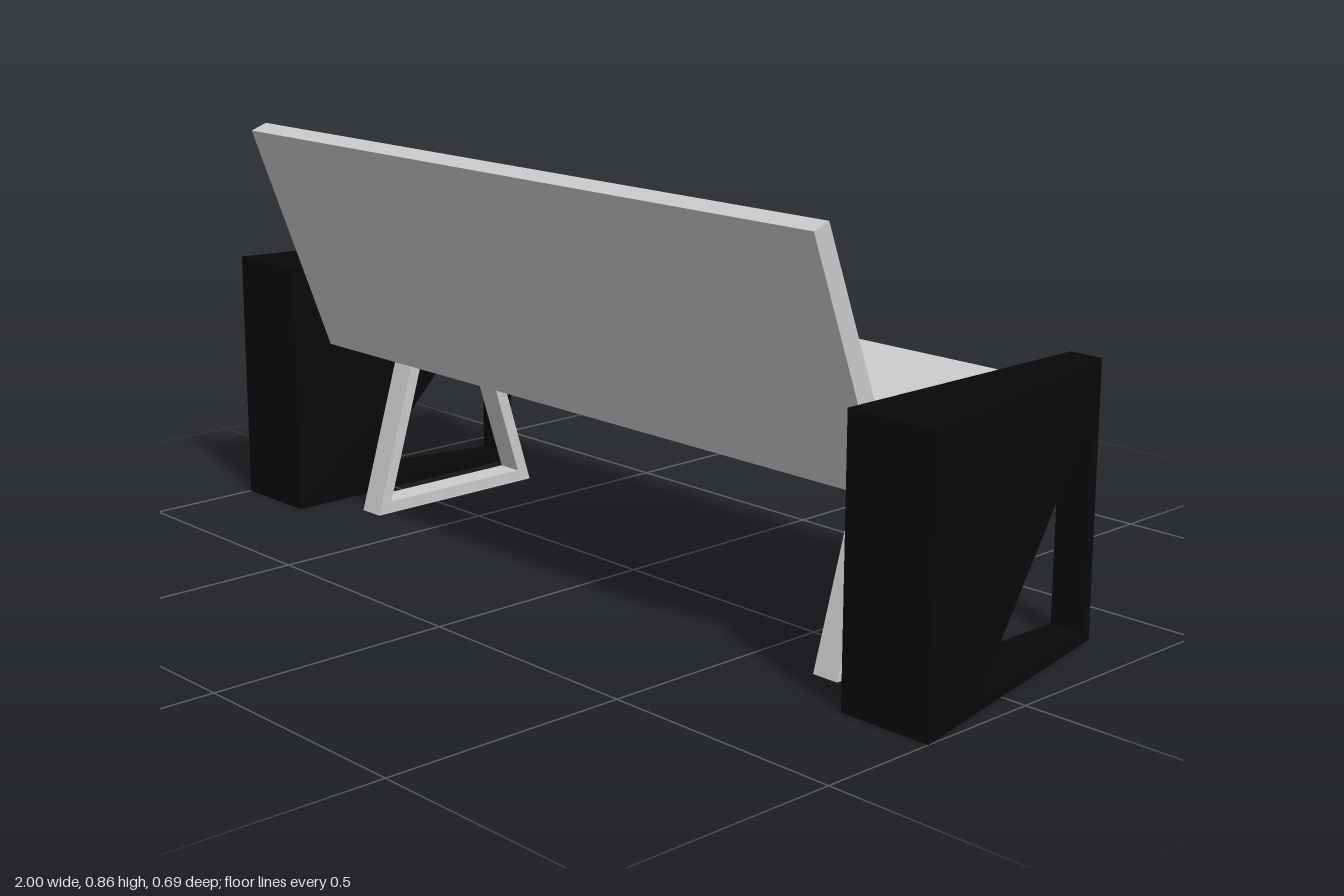
import * as THREE from 'three';

const grey = new THREE.MeshStandardMaterial({ color: 0xcccccc, flatShading: true });
const black = new THREE.MeshStandardMaterial({ color: 0x080808, flatShading: true });

// Extrudes a side profile of [z, y] points across the width from x0 to x1
function sideExtrude(outline, x0, x1, hole) {
  const toPoints = (list) => list.map(([z, y]) => new THREE.Vector2(z, y));
  const shape = new THREE.Shape(toPoints(outline));
  if (hole) shape.holes.push(new THREE.Path(toPoints(hole)));
  const geometry = new THREE.ExtrudeGeometry(shape, { depth: x1 - x0, bevelEnabled: false });
  return geometry.rotateY(-Math.PI / 2).translate(x1, 0, 0);
}

// Narrows the outer face of an end panel towards -z
function taper(geometry) {
  const p = geometry.attributes.position;
  for (let i = 0; i < p.count; i++) {
    const x = p.getX(i);
    if (Math.abs(x) > 0.9) p.setX(i, Math.sign(x) * (1 - (0.258 - p.getZ(i)) * 0.207));
  }
  geometry.computeVertexNormals();
  return geometry;
}

export function createModel() {
  const group = new THREE.Group();
  const add = (name, geometry, material) => {
    const mesh = new THREE.Mesh(geometry, material);
    mesh.name = name;
    group.add(mesh);
  };

  // Leaning backrest and tilted seat boards
  add('backrest', sideExtrude(
    [[0.164, 0.36], [0.348, 0.848], [0.312, 0.861], [0.128, 0.374]], -0.805, 0.805), grey);
  add('seat', sideExtrude(
    [[-0.342, 0.442], [0.143, 0.36], [0.137, 0.396], [-0.335, 0.48]], -0.805, 0.805), grey);

  for (const side of [-1, 1]) {
    const label = side > 0 ? 'left' : 'right';
    const span = (a, b) => (side > 0 ? [a, b] : [-b, -a]);

    // Trapezoid leg frame under the seat
    add(label + 'LegFrame', sideExtrude(
      [[0.16, 0], [0.045, 0.382], [-0.145, 0.414], [-0.27, 0]], ...span(0.648, 0.706),
      [[0.126, 0.026], [0.026, 0.357], [-0.125, 0.383], [-0.235, 0.026]]), grey);

    // Wedge-shaped end panel with a triangular opening
    add(label + 'EndPanel', taper(sideExtrude(
      [[0.258, 0], [0.258, 0.54], [-0.347, 0.54], [-0.347, 0]], ...span(0.805, 1),
      [[0.092, 0.02], [-0.323, 0.45], [-0.323, 0.02]])), black);
  }
  return group;
}
